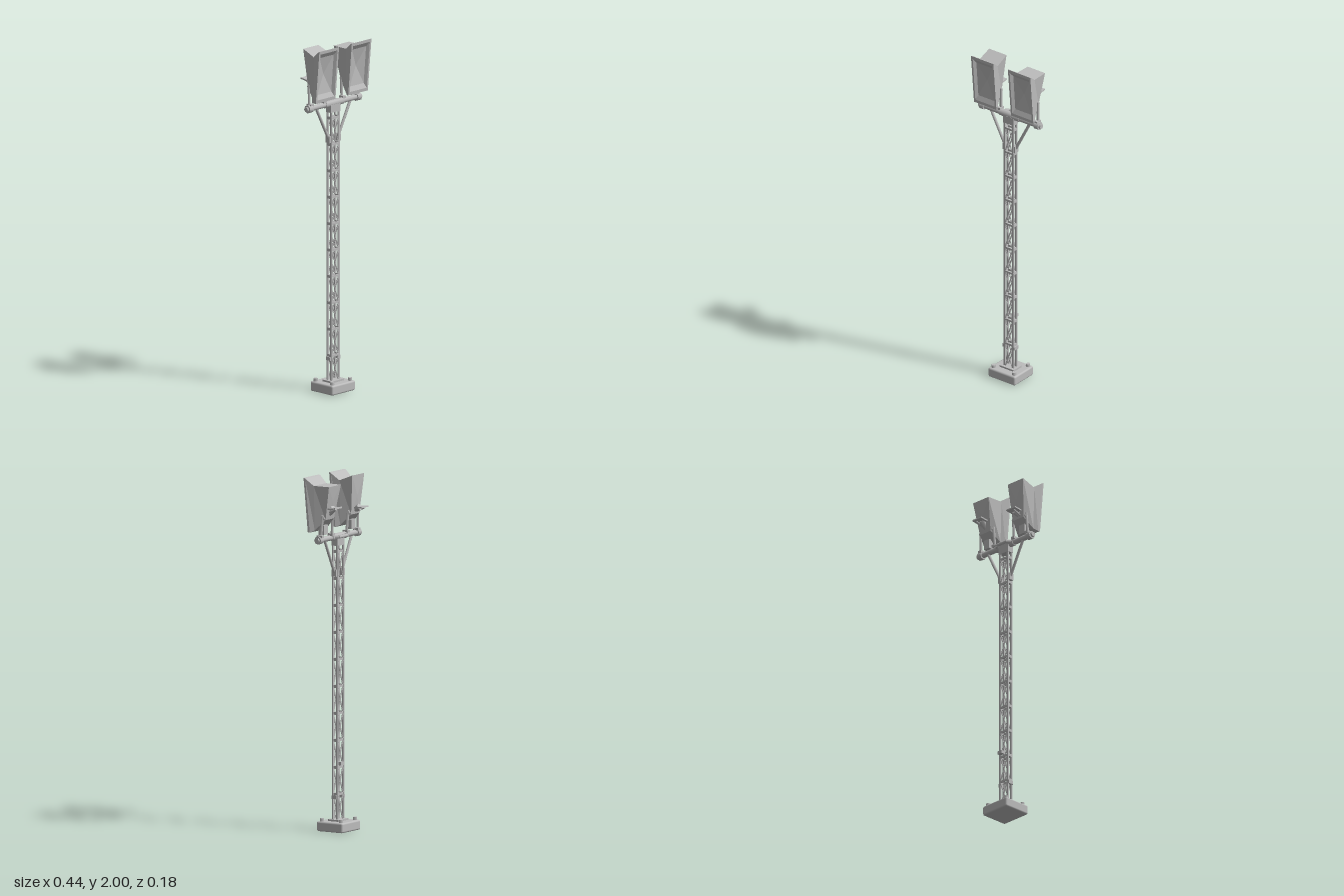
import * as THREE from 'three';
import { RoundedBoxGeometry } from 'three/addons/geometries/RoundedBoxGeometry.js';

const V = (x, y, z) => new THREE.Vector3(x, y, z);

export function createModel() {
  const model = new THREE.Group();
  const steel = new THREE.MeshStandardMaterial({ color: 0xbcbcbc, side: THREE.DoubleSide });
  steel.name = 'grey steel';

  function add(parent, name, geometry, x = 0, y = 0, z = 0) {
    const mesh = new THREE.Mesh(geometry, steel);
    mesh.name = name;
    mesh.position.set(x, y, z);
    parent.add(mesh);
    return mesh;
  }
  const box = (parent, name, w, h, d, x, y, z) => add(parent, name, new THREE.BoxGeometry(w, h, d), x, y, z);

  // Round or square bar between two points
  function bar(parent, name, a, b, r, sides = 6, r2 = r) {
    const mesh = add(parent, name, new THREE.CylinderGeometry(r2, r, a.distanceTo(b), sides));
    mesh.position.copy(a).add(b).multiplyScalar(0.5);
    mesh.quaternion.setFromUnitVectors(V(0, 1, 0), b.clone().sub(a).normalize());
    return mesh;
  }

  // Flat-faced skin over four-cornered rings; the last ring is closed to a point if given
  function loft(rings, tip) {
    const p = [];
    const tri = (...c) => c.forEach(v => p.push(...v));
    for (let i = 0; i + 1 < rings.length; i++) {
      for (let j = 0; j < 4; j++) {
        const k = (j + 1) % 4, a = rings[i], b = rings[i + 1];
        tri(a[j], b[j], a[k]);
        tri(a[k], b[j], b[k]);
      }
    }
    const end = rings[rings.length - 1];
    for (let j = 0; j < 4; j++) tri(end[j], tip, end[(j + 1) % 4]);
    const g = new THREE.BufferGeometry();
    g.setAttribute('position', new THREE.Float32BufferAttribute(p, 3));
    g.computeVertexNormals();
    return g;
  }
  // Ring given by top and bottom half width, height and depth
  const ring = (wt, yt, zt, wb, yb, zb) => [[-wb, yb, zb], [wb, yb, zb], [wt, yt, zt], [-wt, yt, zt]];

  // Footing with anchor bolts
  add(model, 'footing', new RoundedBoxGeometry(0.188, 0.056, 0.172, 2, 0.01), 0, 0.028, -0.003);
  box(model, 'basePlate', 0.1, 0.012, 0.07, 0, 0.06, 0);
  for (const x of [-0.072, 0.072]) for (const z of [-0.066, 0.06]) {
    add(model, 'anchorBolt', new THREE.CylinderGeometry(0.012, 0.013, 0.02, 6), x, 0.063, z);
  }

  // Lattice mast
  const mast = new THREE.Group();
  mast.name = 'latticeMast';
  model.add(mast);
  const X = 0.03, Z = 0.014, y0 = 0.055, step = 0.1515, bays = 10;
  for (const x of [-X, X]) for (const z of [-Z, Z]) box(mast, 'cornerPost', 0.011, 1.59, 0.009, x, 0.845, z);
  for (let i = 0; i <= bays; i++) {
    const y = y0 + i * step;
    for (const s of [-1, 1]) {
      box(mast, 'crossRail', 2 * X, 0.012, 0.007, 0, y, s * Z);
      box(mast, 'sideRail', 0.009, 0.016, 2 * Z + 0.01, s * X, y, 0);
      if (i < bays) {
        const a = y + 0.008, b = y + step - 0.008;
        for (const m of [-1, 1]) bar(mast, 'diagonalBrace', V(-m * 0.025, a, s * Z), V(m * 0.025, b, s * Z), 0.0045, 4);
      }
    }
  }
  for (const s of [-1, 1]) box(mast, 'mastClamp', 0.014, 0.02, 0.034, s * 0.035, 0.19, 0);
  box(mast, 'cableClip', 0.03, 0.018, 0.022, 0.012, 0.38, -0.026);

  // Cross arm, mast head and struts
  const arm = new THREE.Group();
  arm.name = 'crossArm';
  model.add(arm);
  bar(arm, 'armTube', V(-0.205, 1.652, 0), V(0.205, 1.652, 0), 0.016, 8);
  bar(arm, 'armSleeve', V(-0.07, 1.652, 0), V(0.07, 1.652, 0), 0.02, 8);
  box(arm, 'mastHead', 0.075, 0.045, 0.038, 0, 1.625, 0);
  for (const s of [-1, 1]) {
    bar(arm, 'endCollar', V(s * 0.178, 1.652, 0), V(s * 0.208, 1.652, 0), 0.023, 8);
    bar(arm, 'endNut', V(s * 0.208, 1.652, 0), V(s * 0.219, 1.652, 0), 0.015, 6);
    bar(arm, 'armStrut', V(s * 0.034, 1.445, 0), V(s * 0.137, 1.645, 0), 0.0085, 6);
    box(arm, 'strutFoot', 0.018, 0.04, 0.03, s * 0.036, 1.45, 0);
    bar(arm, 'headLoopSide', V(s * 0.058, 1.655, -0.008), V(s * 0.036, 1.655, -0.036), 0.011, 6);
  }
  bar(arm, 'headLoopBack', V(-0.046, 1.655, -0.034), V(0.046, 1.655, -0.034), 0.009, 6);

  // Floodlights: flared front rim, pinched neck, tapering rear housing
  function floodlight(name, x, topY, topZ, plateY) {
    const lamp = new THREE.Group();
    lamp.name = name;
    lamp.position.x = x;
    model.add(lamp);
    const s = Math.sign(x);
    const rim = ring(0.079, 1.998, 0.092, 0.079, 1.695, 0.064);
    const lip = ring(0.078, 1.994, 0.082, 0.077, 1.693, 0.052);
    const neck = ring(0.064, 1.955, 0.034, 0.062, 1.705, 0.028);
    const back = ring(0.061, topY, topZ, 0.042, 1.765, -0.03);
    const shell = loft([rim, lip, neck, back], [0, 1.87, (topZ - 0.03) / 2 - 0.004]);
    add(lamp, 'housing', shell);
    // Recessed reflector inside the rim
    const edge = ring(0.068, 1.98, 0.09, 0.068, 1.713, 0.066);
    const dish = ring(0.056, 1.955, 0.072, 0.056, 1.74, 0.054);
    add(lamp, 'reflector', loft([rim, edge, dish], [0, 1.85, 0.046]));
    // Yoke legs, pivot and feet
    for (const m of [-1, 1]) {
      bar(lamp, 'yokeLeg', V(m * 0.056, 1.655, -0.008), V(m * 0.05, 1.79, -0.016), 0.008, 6);
      box(lamp, 'yokeFoot', 0.024, 0.014, 0.034, m * 0.054, 1.672, -0.004);
    }
    bar(lamp, 'yokePivot', V(-0.054, 1.775, -0.018), V(0.054, 1.775, -0.018), 0.009, 6);
    box(lamp, 'wiringBox', 0.042, 0.055, 0.034, 0.01 * s, 1.705, 0.006);
    // Rear bracket with a flared plate
    bar(lamp, 'rearStub', V(0, 1.785, -0.015), V(0, plateY, -0.058), 0.014, 6, 0.02);
    const plate = box(lamp, 'rearPlate', 0.07, 0.008, 0.05, 0.004 * s, plateY, -0.067);
    plate.rotation.x = 0.12;
    bar(lamp, 'rearPin', V(0.018 * s, plateY - 0.03, -0.02), V(0.018 * s, plateY - 0.005, -0.08), 0.005, 5);
  }
  floodlight('rightFloodlight', -0.128, 1.988, -0.05, 1.805);
  floodlight('leftFloodlight', 0.132, 1.955, -0.065, 1.83);

  return model;
}
